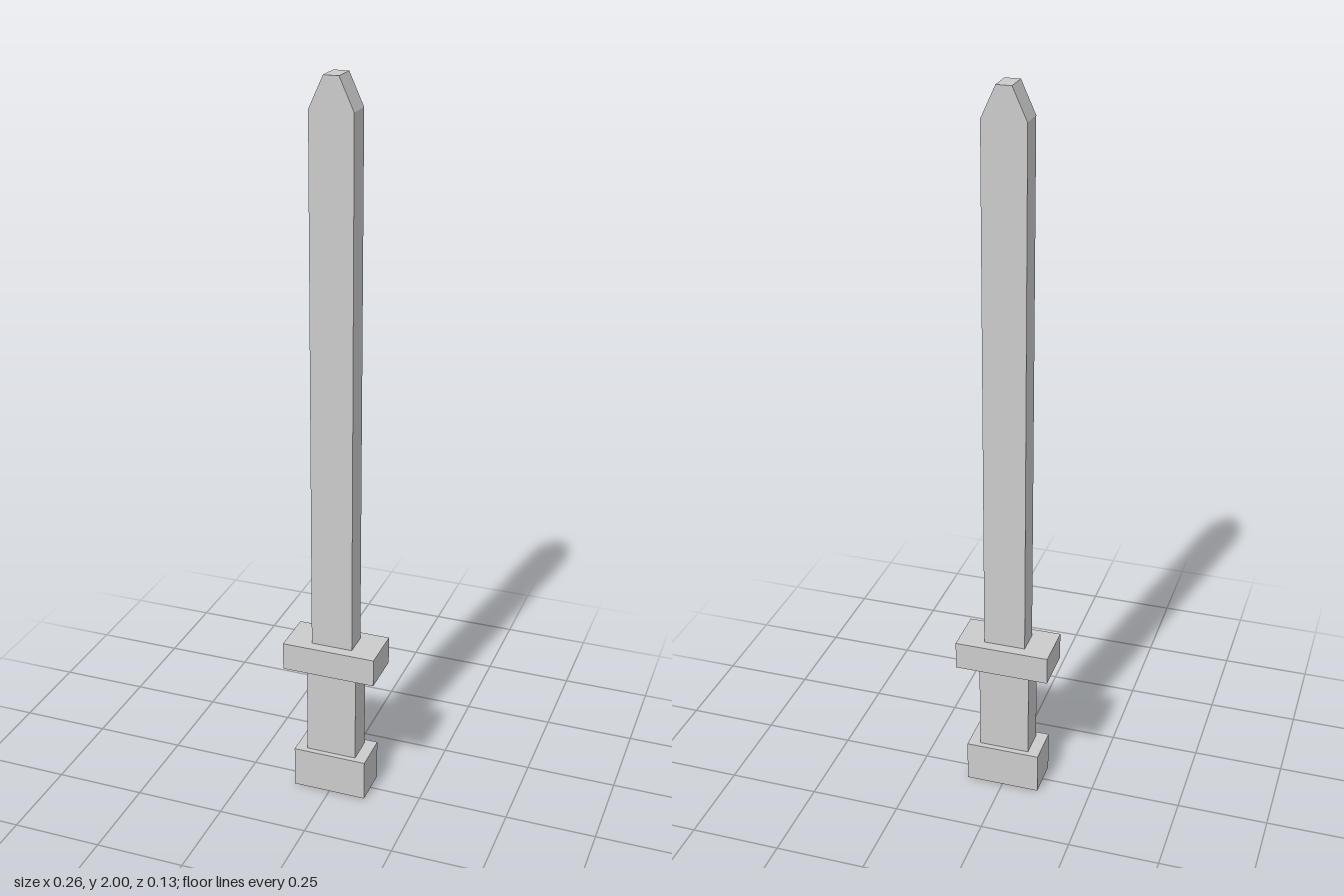
import * as THREE from 'three';

export function createModel() {
  const group = new THREE.Group();
  group.name = 'sword';
  const material = new THREE.MeshStandardMaterial({ color: 0xcccccc, flatShading: true });

  function add(name, geometry) {
    const mesh = new THREE.Mesh(geometry, material);
    mesh.name = name;
    group.add(mesh);
  }

  // Box centred on the y axis, between two heights
  function block(name, width, depth, bottom, top) {
    const geometry = new THREE.BoxGeometry(width, top - bottom, depth);
    add(name, geometry.translate(0, (bottom + top) / 2, 0));
  }

  // Hilt
  block('pommel', 0.208, 0.112, 0, 0.118);
  block('grip', 0.142, 0.08, 0.118, 0.381);
  block('guard', 0.262, 0.131, 0.381, 0.46);

  // Blade with a blunt, bevelled tip
  const half = 0.058, tip = 0.02, shoulder = 1.917, depth = 0.07;
  const outline = new THREE.Shape([
    [-half, 0.46], [half, 0.46], [half, shoulder],
    [tip, 2], [-tip, 2], [-half, shoulder],
  ].map(([x, y]) => new THREE.Vector2(x, y)));
  const blade = new THREE.ExtrudeGeometry(outline, { depth, bevelEnabled: false });
  add('blade', blade.translate(0, 0, -depth / 2));

  return group;
}
